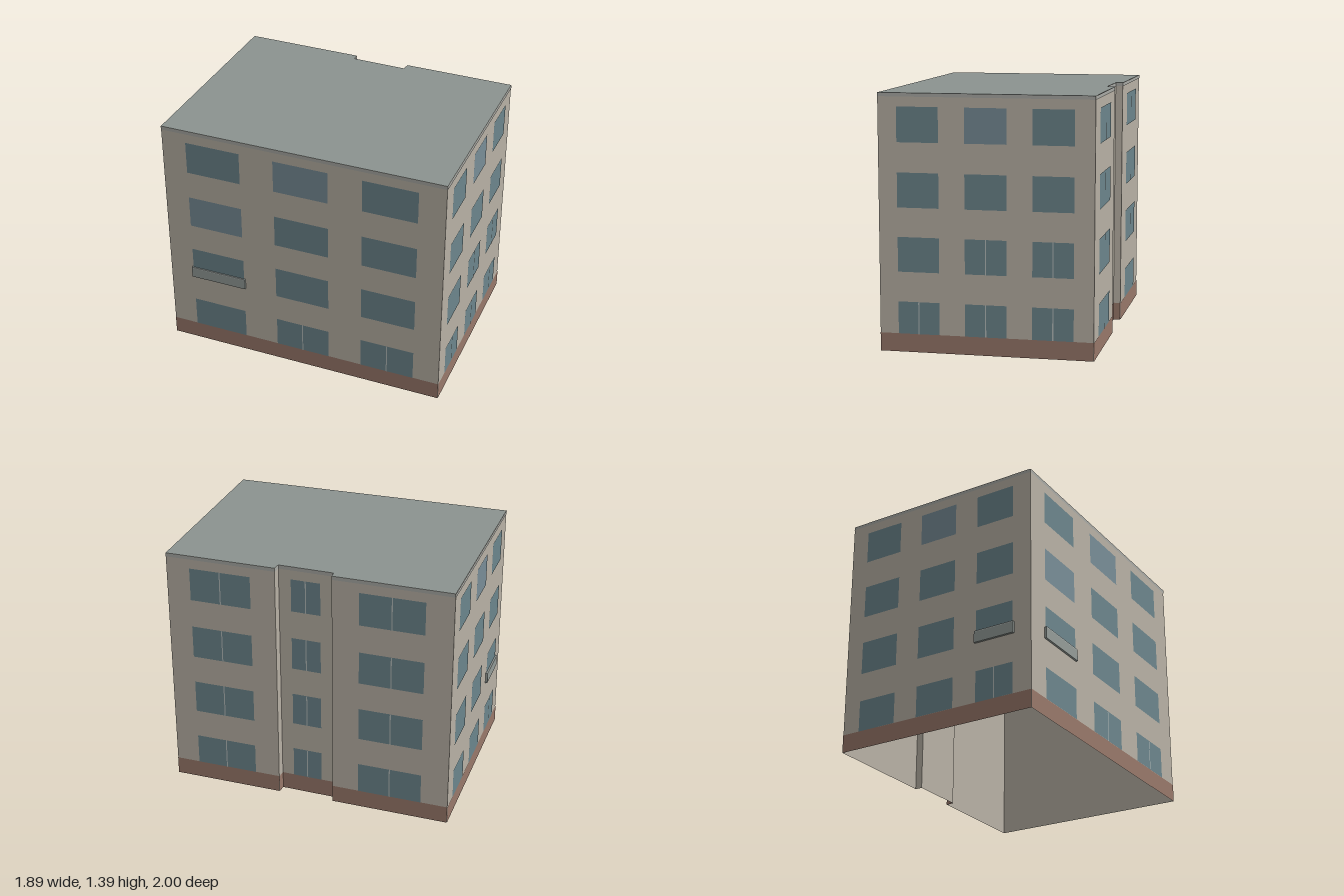
import * as THREE from 'three';

const H = 1.39, PLINTH = 0.1;
const ROWS = [[0.1, 0.275], [0.437, 0.625], [0.783, 0.97], [1.13, 1.318]];
const THREE_COLS = [[0.088, 0.283], [0.404, 0.598], [0.717, 0.908]];

const mat = (color, side = THREE.FrontSide) => new THREE.MeshStandardMaterial({ color, side });

export function createModel() {
  const model = new THREE.Group();
  model.name = 'apartmentBuilding';
  const wallMat = mat(0xb8b1a5, THREE.DoubleSide), plinthMat = mat(0x98786a);
  const roofMat = mat(0x8b9390, THREE.DoubleSide), trimMat = mat(0xa9aaa5);
  const glassMat = mat(0x6c858c), paleGlassMat = mat(0x788d97);
  const frameMat = mat(0xb4bcba), panelMat = mat(0x949c98);

  // Footprint corners [x, z], in order left to right as seen from outside
  const D = [-0.945, -0.31], C = [0.015, 1], B = [0.943, 0.31], A = [0.01, -1];
  const N1 = [0.58, -0.2], R1 = [0.54, -0.177], R2 = [0.363, -0.432], N2 = [0.394, -0.457];

  // Each wall: ends, window columns (fractions of its length),
  // and [column,row] keys of split windows, pale panes and balconies
  const walls = [
    { name: 'frontLeftWall', p: D, q: C, cols: THREE_COLS, split: ['1,0', '2,0'], pale: ['1,3', '0,2'], balcony: ['0,1'] },
    { name: 'frontRightWall', p: C, q: B, cols: THREE_COLS, split: ['0,0', '1,0', '2,0', '1,1', '2,1'], pale: ['1,3'] },
    { name: 'rearWallNear', p: B, q: N1, cols: [[0.216, 0.775]], split: 'all' },
    { name: 'recessSideNear', p: N1, q: R1 },
    { name: 'recessWall', p: R1, q: R2, cols: [[0.225, 0.76]], split: 'all' },
    { name: 'recessSideFar', p: R2, q: N2 },
    { name: 'rearWallFar', p: N2, q: A, cols: [[0.229, 0.771]], split: 'all' },
    { name: 'backLeftWall', p: A, q: D, cols: THREE_COLS, split: ['2,0'], pale: ['1,3'], balcony: ['2,1'] },
  ];

  for (const { name, p, q, cols = [], split = [], pale = [], balcony = [] } of walls) {
    const dx = q[0] - p[0], dz = q[1] - p[1], len = Math.hypot(dx, dz);
    // Local frame: x along the wall, y up, z outward
    const wall = new THREE.Group();
    wall.name = name;
    wall.position.set(p[0], 0, p[1]);
    wall.rotation.y = Math.atan2(-dz, dx);
    model.add(wall);

    const panel = (label, x0, x1, y0, y1, z, material) => {
      const mesh = new THREE.Mesh(new THREE.PlaneGeometry(x1 - x0, y1 - y0), material);
      mesh.position.set((x0 + x1) / 2, (y0 + y1) / 2, z);
      mesh.name = label;
      wall.add(mesh);
    };
    panel('wall', 0, len, 0, H, 0, wallMat);
    panel('plinth', 0, len, 0, PLINTH, 0.002, plinthMat);
    panel('roofTrim', 0, len, H - 0.02, H, 0.002, trimMat);

    cols.forEach(([a, b], c) => ROWS.forEach(([y0, y1], r) => {
      const key = `${c},${r}`, x0 = a * len, x1 = b * len, mid = (x0 + x1) / 2;
      panel('window', x0, x1, y0, y1, 0.003, pale.includes(key) ? paleGlassMat : glassMat);
      if (split === 'all' || split.includes(key)) {
        panel('windowMullion', mid - 0.003, mid + 0.003, y0, y1, 0.005, frameMat);
      }
      // Shallow balcony front over the lower part of the window
      if (balcony.includes(key)) {
        const box = new THREE.Mesh(new THREE.BoxGeometry(x1 - x0 + 0.015, 0.064, 0.012), panelMat);
        box.position.set(mid, y0 + 0.032, 0.006);
        box.name = 'balconyPanel';
        wall.add(box);
        panel('balconyRail', x0 - 0.005, x1 + 0.005, y0 + 0.06, y0 + 0.066, 0.013, frameMat);
      }
    }));
  }

  // Flat roof over the footprint
  const outline = new THREE.Shape(walls.map(({ p }) => new THREE.Vector2(p[0], -p[1])));
  const roof = new THREE.Mesh(new THREE.ShapeGeometry(outline).rotateX(-Math.PI / 2), roofMat);
  roof.position.y = H;
  roof.name = 'roof';
  model.add(roof);
  return model;
}
